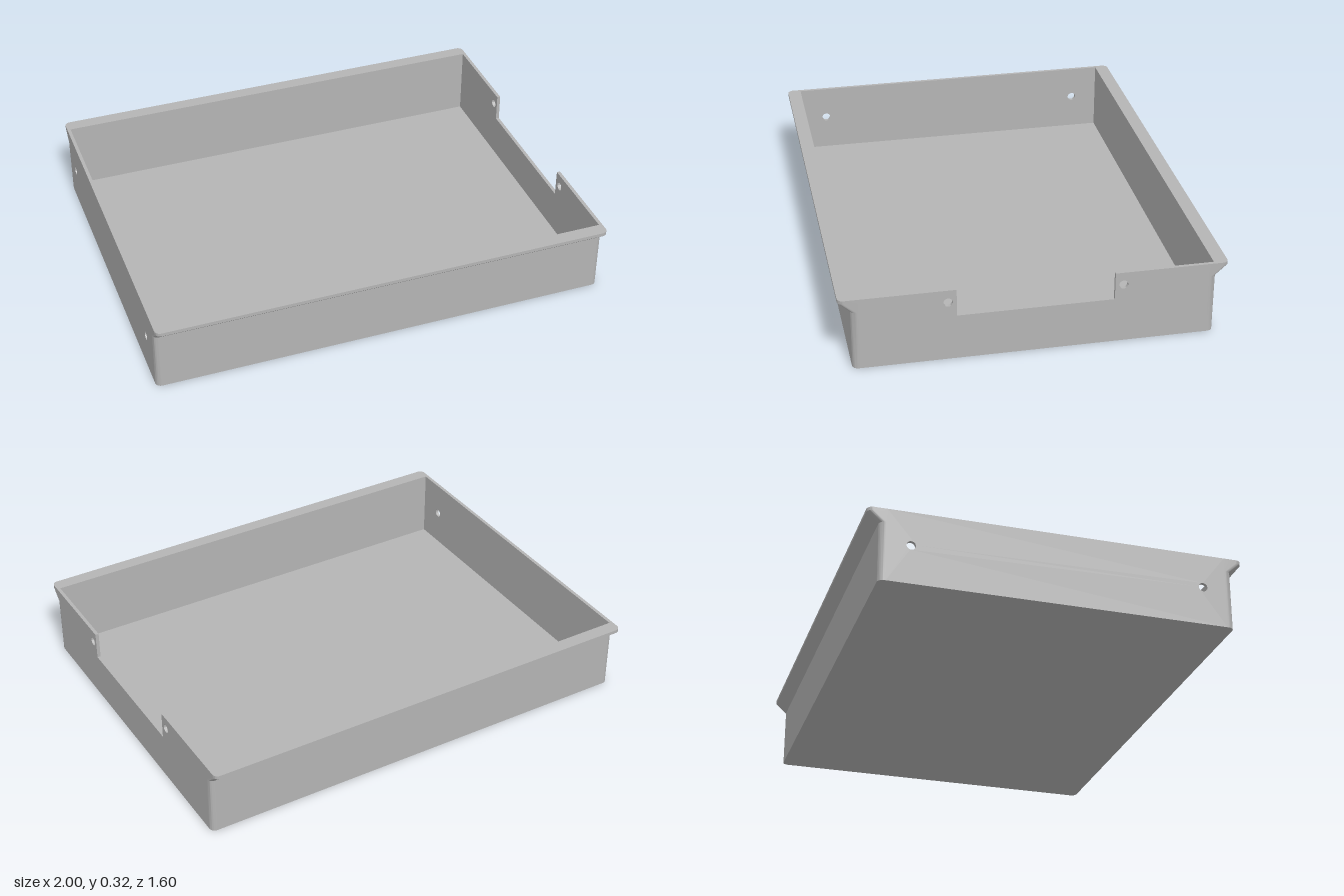
import * as THREE from 'three';
import { toCreasedNormals } from 'three/addons/utils/BufferGeometryUtils.js';

const HX = 1, HZ = 0.75, H = 0.32;        // half width, half depth, height of the tray body
const INX = 0.985, INZ = 0.74;            // inner faces of the walls
const R = 0.025, SEAM = 0.72;             // corner radius, where end walls meet the corners
const FLARE = 0.05, FLOOR = 0.012;
const LEVELS = [0, 0.26, 0.305, H];       // wall top, lip edge bottom, lip top

// Long wall with rounded corners and an outward flared lip
function longWallGeometry() {
  const s = new THREE.Shape();
  s.moveTo(HX, SEAM);
  s.lineTo(HX, HZ - R);
  s.absarc(HX - R, HZ - R, R, 0, Math.PI / 2, false);
  s.lineTo(-HX + R, HZ);
  s.absarc(-HX + R, HZ - R, R, Math.PI / 2, Math.PI, false);
  s.lineTo(-HX, SEAM);
  s.lineTo(-INX, SEAM);
  s.lineTo(-INX, INZ);
  s.lineTo(INX, INZ);
  s.lineTo(INX, SEAM);
  s.closePath();
  const g = new THREE.ExtrudeGeometry(s, { depth: 3, steps: 3, curveSegments: 8, bevelEnabled: false });
  const p = g.attributes.position;
  for (let i = 0; i < p.count; i++) {
    const x = Math.abs(p.getX(i)), y = p.getY(i), level = Math.round(p.getZ(i));
    const outer = y > SEAM + 0.002 && (x > INX + 0.001 || y > INZ + 0.001);
    if (outer && level >= 2) p.setY(i, y + FLARE);
    p.setZ(i, LEVELS[level]);
  }
  g.rotateX(-Math.PI / 2);
  return toCreasedNormals(g, 0.5);
}

// End wall plate with two round holes and an optional notch in its top edge
function endWallGeometry(holeZ, holeY, notch) {
  const s = new THREE.Shape();
  s.moveTo(-SEAM, 0);
  s.lineTo(SEAM, 0);
  s.lineTo(SEAM, H);
  if (notch) {
    s.lineTo(notch.half, H);
    s.lineTo(notch.half, notch.y);
    s.lineTo(-notch.half, notch.y);
    s.lineTo(-notch.half, H);
  }
  s.lineTo(-SEAM, H);
  s.closePath();
  for (const side of [-1, 1]) {
    const hole = new THREE.Path();
    hole.absarc(side * holeZ, holeY, 0.019, 0, Math.PI * 2, true);
    s.holes.push(hole);
  }
  const g = new THREE.ExtrudeGeometry(s, { depth: HX - INX, curveSegments: 16, bevelEnabled: false });
  g.rotateY(Math.PI / 2);
  return toCreasedNormals(g, 0.5);
}

export function createModel() {
  const tray = new THREE.Group();
  tray.name = 'tray';
  const grey = new THREE.MeshStandardMaterial({ color: 0xb4b4b4 });
  grey.name = 'grey';

  const add = (name, geometry) => {
    const mesh = new THREE.Mesh(geometry, grey);
    mesh.name = name;
    tray.add(mesh);
    return mesh;
  };

  // Floor
  add('floor', new THREE.BoxGeometry(INX * 2, FLOOR, INZ * 2)).position.y = FLOOR / 2;

  // Front and back walls with lips
  const longWall = longWallGeometry();
  add('backWall', longWall);
  add('frontWall', longWall).rotation.y = Math.PI;

  // End walls: one notched, one plain
  add('notchedEndWall', endWallGeometry(0.36, 0.265, { half: 0.325, y: 0.2 })).position.x = INX;
  add('plainEndWall', endWallGeometry(0.62, 0.17)).position.x = -HX;

  return tray;
}
